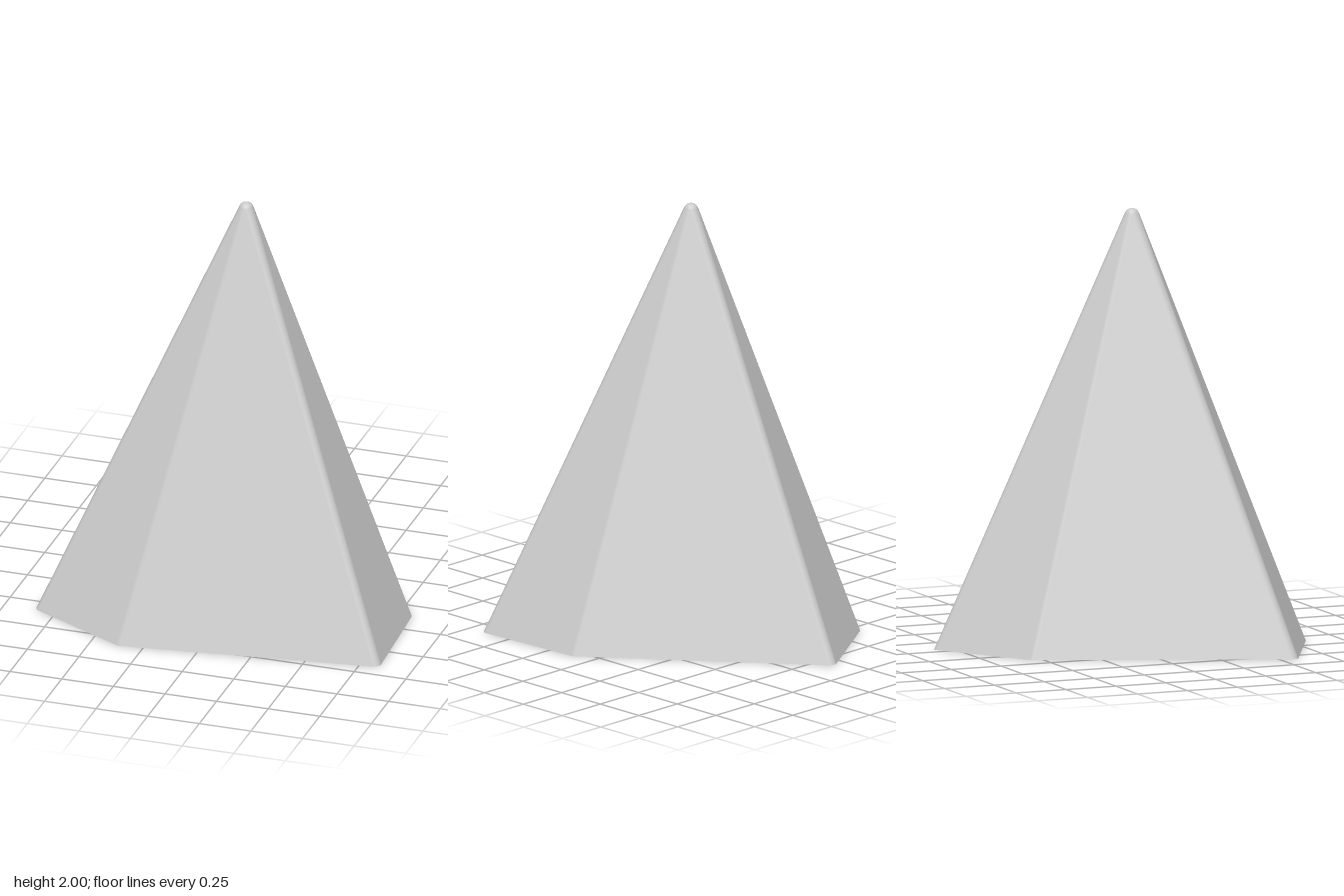
import * as THREE from 'three';

const RADIUS = 0.035;      // rounding of the sloping edges and the tip
const CORNER_STEPS = 5;
const DOME_STEPS = 6;

// Sharp base outline (x, z), counter-clockwise seen from above
const OUTLINE = [
  [0.07, -0.85], [-0.4, -0.55], [-0.86, 0.58],
  [-0.365, 0.835], [0.845, 0.67], [0.815, 0.105],
].map(([x, z]) => new THREE.Vector3(x, 0, z));
const TIP = new THREE.Vector3(0.02, 2 - RADIUS, 0.13);
const UP = new THREE.Vector3(0, 1, 0);

const blend = (a, b, t) => a.clone().lerp(b, t).normalize();

// Moves each corner inwards by d along its mitre
function inset(points, d) {
  const n = points.length;
  const normals = points.map((p, i) => {
    const e = points[(i + 1) % n].clone().sub(p);
    return new THREE.Vector3(-e.z, 0, e.x).normalize();
  });
  return points.map((p, i) => {
    const a = normals[(i + n - 1) % n], b = normals[i];
    return p.clone().addScaledVector(a.clone().add(b), -d / (1 + a.dot(b)));
  });
}

// One column per surface normal: its foot on the ground and that normal
function buildColumns() {
  const core = inset(OUTLINE, RADIUS * 1.07);
  const n = core.length;
  const faceNormals = core.map((c, i) =>
    core[(i + 1) % n].clone().sub(c).cross(TIP.clone().sub(c)).normalize());
  const columns = [];
  core.forEach((c, i) => {
    const slope = c.clone().sub(TIP);
    for (let s = 0; s <= CORNER_STEPS; s++) {
      const normal = blend(faceNormals[(i + n - 1) % n], faceNormals[i], s / CORNER_STEPS);
      const foot = c.clone().addScaledVector(normal, RADIUS);
      foot.addScaledVector(slope, -foot.y / slope.y);
      columns.push({ foot, normal });
    }
  });
  return columns;
}

// Flat sides, rounded edges and domed tip as one smooth skin
function sidesGeometry(columns) {
  const positions = [], normals = [], index = [];
  const rows = DOME_STEPS + 2, count = columns.length;
  for (let r = 0; r < rows; r++) {
    for (const { foot, normal } of columns) {
      const dir = r < 2 ? normal : blend(normal, UP, (r - 1) / DOME_STEPS);
      const p = r === 0 ? foot : TIP.clone().addScaledVector(dir, RADIUS);
      positions.push(p.x, p.y, p.z);
      normals.push(dir.x, dir.y, dir.z);
    }
  }
  for (let r = 0; r < rows - 1; r++) {
    for (let i = 0; i < count; i++) {
      const j = (i + 1) % count;
      const a = r * count + i, b = r * count + j, c = b + count, d = a + count;
      index.push(a, b, c);
      if (r < rows - 2) index.push(a, c, d);
    }
  }
  const g = new THREE.BufferGeometry();
  g.setAttribute('position', new THREE.Float32BufferAttribute(positions, 3));
  g.setAttribute('normal', new THREE.Float32BufferAttribute(normals, 3));
  g.setIndex(index);
  return g;
}

export function createModel() {
  const group = new THREE.Group();
  group.name = 'roundedPyramid';
  const material = new THREE.MeshStandardMaterial({ color: 0xcccccc });
  const columns = buildColumns();

  const sides = new THREE.Mesh(sidesGeometry(columns), material);
  sides.name = 'sides';
  group.add(sides);

  // Flat underside, turned to face down
  const outline = new THREE.Shape(columns.map(({ foot }) => new THREE.Vector2(foot.x, foot.z)));
  const base = new THREE.Mesh(new THREE.ShapeGeometry(outline), material);
  base.rotation.x = Math.PI / 2;
  base.name = 'base';
  group.add(base);

  return group;
}
